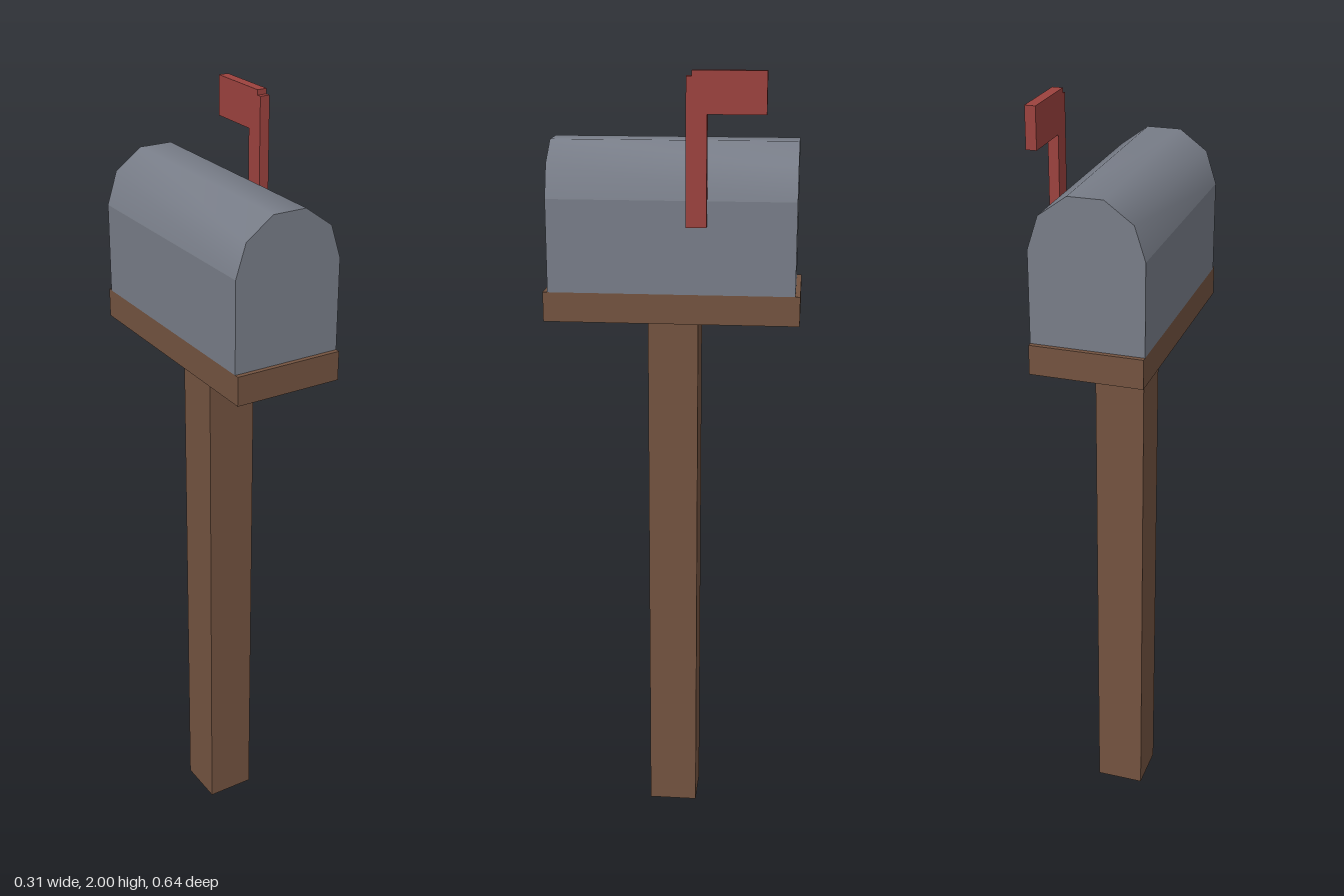
import * as THREE from 'three';

export function createModel() {
  const model = new THREE.Group();
  const paint = (name, color, side = THREE.FrontSide) => {
    const m = new THREE.MeshStandardMaterial({ color, side });
    m.name = name;
    return m;
  };
  const grey = paint('grey metal', 0x787d88);
  const brown = paint('brown wood', 0x735340, THREE.DoubleSide);
  const red = paint('red flag', 0x9c423e);

  const add = (name, geometry, material, parent = model) => {
    const mesh = new THREE.Mesh(geometry, material);
    mesh.name = name;
    parent.add(mesh);
    return mesh;
  };
  // Box given by its limits on each axis
  const box = (name, [x0, x1], [y0, y1], [z0, z1], material, parent) => {
    const mesh = add(name, new THREE.BoxGeometry(x1 - x0, y1 - y0, z1 - z0), material, parent);
    mesh.position.set((x0 + x1) / 2, (y0 + y1) / 2, (z0 + z1) / 2);
    return mesh;
  };

  const cx = -0.014, half = 0.14, trayTop = 1.466, spring = 1.695;
  const sides = [cx - half, cx + half];

  // Square post, hollow and open at the foot
  const postGeo = new THREE.CylinderGeometry(0.0636 * Math.SQRT2, 0.0636 * Math.SQRT2, 1.392, 4, 1, true, Math.PI / 4)
    .toNonIndexed();
  postGeo.computeVertexNormals();
  add('post', postGeo, brown).position.set(cx, 0.696, 0);

  // Wooden board under the box
  box('baseBoard', sides, [1.392, trayTop], [-0.319, 0.317], brown);

  // Mailbox: straight walls with a five-panel smooth arched roof
  const body = new THREE.Group();
  body.name = 'mailbox';
  model.add(body);
  const ends = [-0.307, 0.305];
  box('walls', sides, [trayTop, spring], ends, grey, body);
  const roofGeo = new THREE.CylinderGeometry(half, half, ends[1] - ends[0], 5, 1, false, -Math.PI / 2, Math.PI);
  roofGeo.rotateX(-Math.PI / 2);
  roofGeo.computeVertexNormals();
  add('roof', roofGeo, grey, body).position.set(cx, spring, (ends[0] + ends[1]) / 2);

  // Raised signal flag on the left wall: one outline with a small step at the top
  const outline = [
    [0.04, 1.635], [0.09, 1.635], [0.09, 1.9], [0.23, 1.9],
    [0.23, 2], [0.053, 2], [0.053, 1.987], [0.04, 1.987],
  ].map(([a, b]) => new THREE.Vector2(a, b));
  const flagGeo = new THREE.ExtrudeGeometry(new THREE.Shape(outline), { depth: 0.026, bevelEnabled: false });
  flagGeo.rotateY(Math.PI / 2);
  add('signalFlag', flagGeo, red).position.x = sides[1];

  return model;
}
